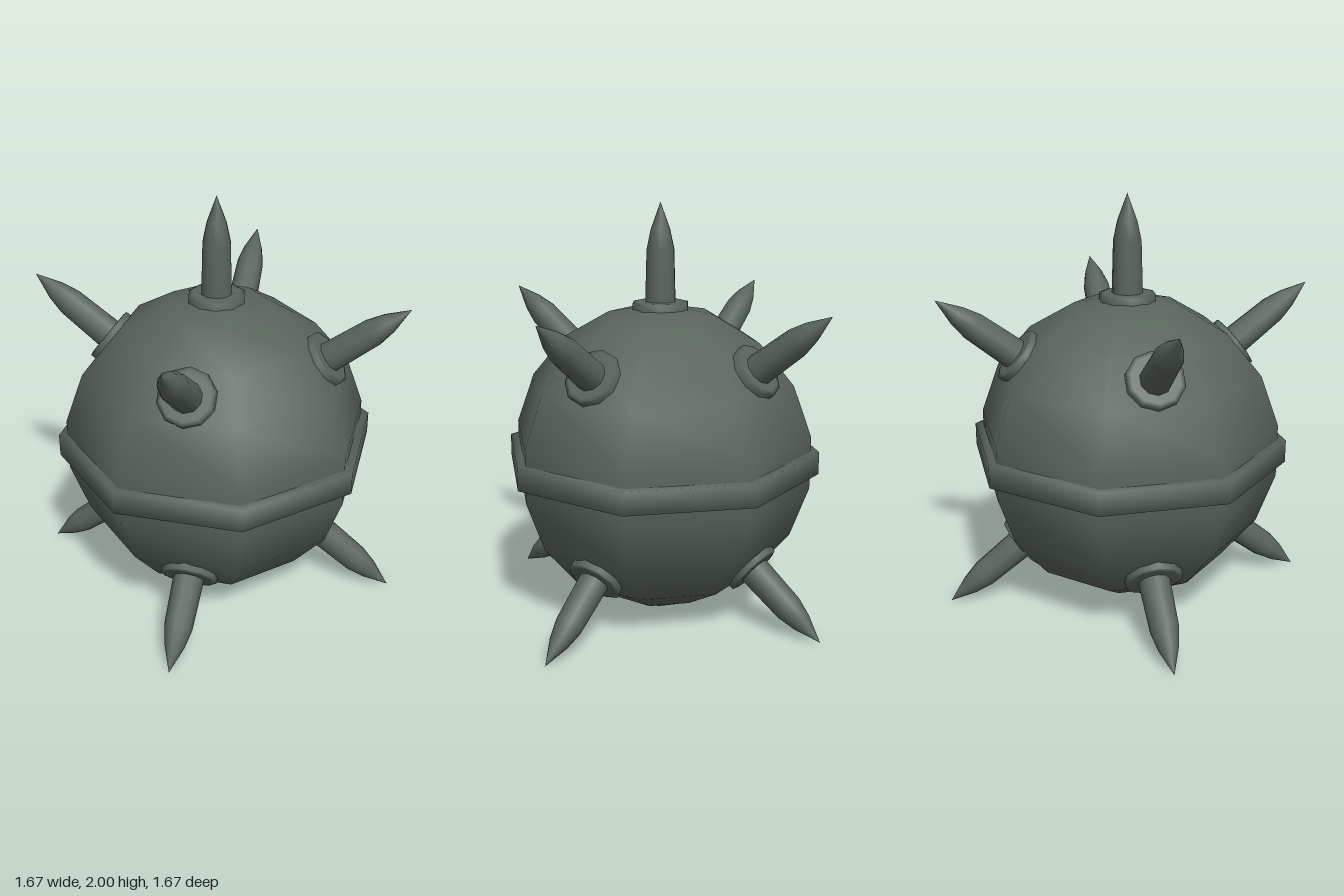
import * as THREE from 'three';

export function createModel() {
  const model = new THREE.Group();
  const metal = new THREE.MeshStandardMaterial({ color: 0x59645b });
  metal.name = 'dark grey green metal';

  const centreY = 0.77;
  const radius = 0.75;

  const add = (parent, geometry, name) => {
    const mesh = new THREE.Mesh(geometry, metal);
    mesh.name = name;
    parent.add(mesh);
    return mesh;
  };
  const lathe = (points, sides) =>
    new THREE.LatheGeometry(points.map(([r, y]) => new THREE.Vector2(r, y)), sides);

  // Eight-sided smooth ball; nine rows leave a straight band at the waist
  add(model, new THREE.SphereGeometry(radius, 8, 9), 'ball').position.y = centreY;

  // Raised belt around the waist
  const belt = lathe([[0.72, -0.055], [0.78, -0.055], [0.78, 0.055], [0.72, 0.055]], 8);
  add(model, belt, 'belt').position.y = centreY;

  // Collar and spike, both standing along +y
  const collarGeometry = lathe([[0.137, -0.03], [0.137, 0.027], [0.115, 0.032], [0, 0.032]], 10);
  const spikeGeometry = lathe([[0.076, 0], [0.068, 0.27], [0.048, 0.36], [0, 0.484]], 10);

  const addStud = (name, azimuth, tilt, position, withSpike = true) => {
    const stud = new THREE.Group();
    stud.name = name;
    stud.rotation.set(tilt, azimuth, 0, 'YXZ');
    stud.position.copy(position);
    add(stud, collarGeometry, 'collar');
    if (withSpike) add(stud, spikeGeometry, 'spike');
    model.add(stud);
    return stud;
  };

  // Top spike and the bare collar underneath
  const top = addStud('topSpike', 0, 0, new THREE.Vector3(0, 1.5, 0));
  top.getObjectByName('spike').scale.y = 0.5 / 0.484;
  addStud('bottomCollar', 0, Math.PI, new THREE.Vector3(0, 0.04, 0), false);

  // Four spikes above and four below, each square to the middle of a facet
  const reach = 0.523, rise = 0.473;
  const lean = THREE.MathUtils.degToRad(52.3);
  for (let i = 0; i < 4; i++) {
    const azimuth = Math.PI / 8 + i * Math.PI / 2;
    for (const side of [1, -1]) {
      const position = new THREE.Vector3(
        Math.sin(azimuth) * reach, centreY + side * rise, Math.cos(azimuth) * reach);
      addStud(side > 0 ? 'upperSpike' : 'lowerSpike', azimuth,
        side > 0 ? lean : Math.PI - lean, position);
    }
  }
  return model;
}
